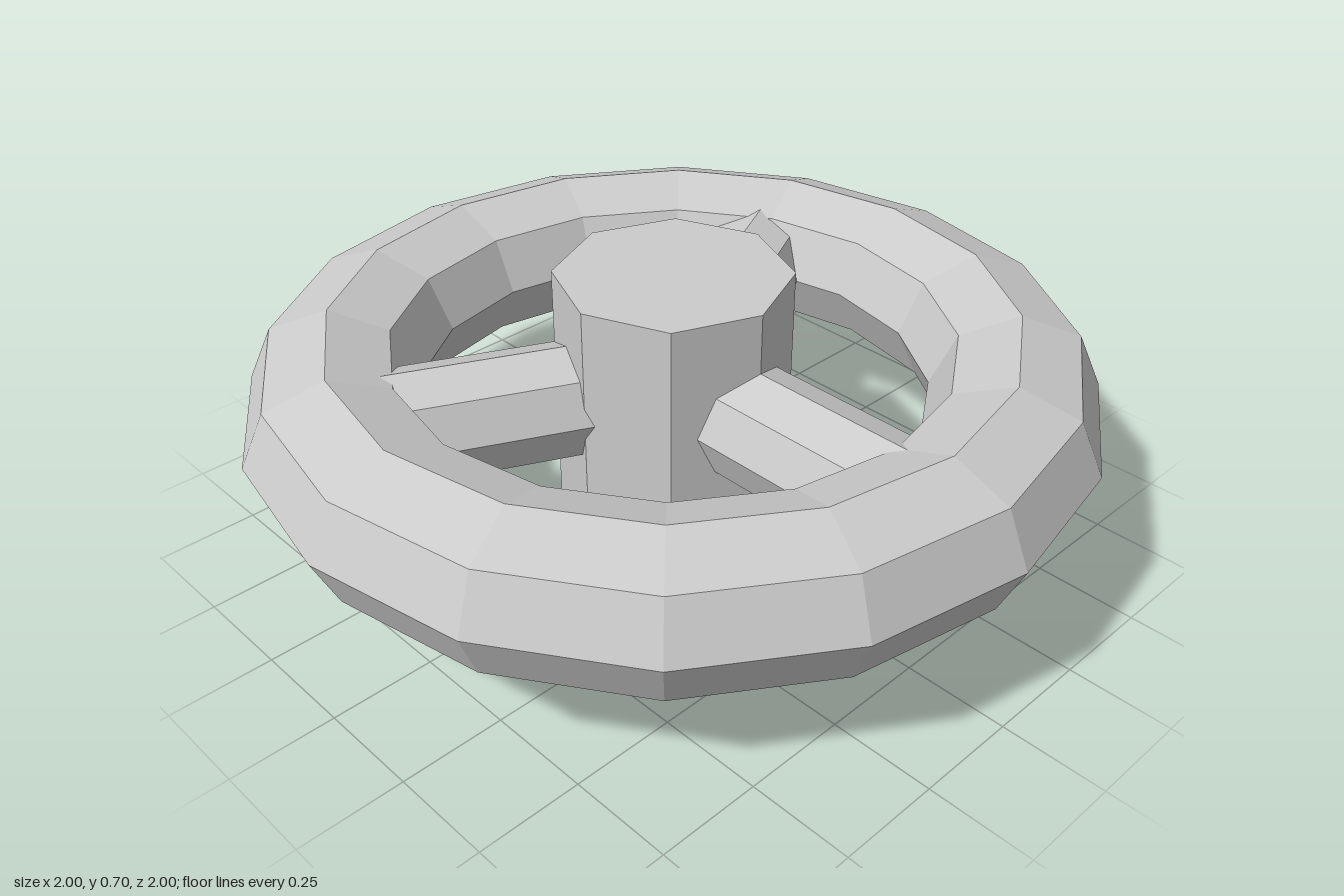
import * as THREE from 'three';

const HEIGHT = 0.7; // hub height
const MID = 0.414; // height of the rim and spoke centre line

export function createModel() {
  const group = new THREE.Group();
  const material = new THREE.MeshStandardMaterial({ color: 0xcccccc, flatShading: true });

  const add = (name, geometry) => {
    const mesh = new THREE.Mesh(geometry, material);
    mesh.name = name;
    group.add(mesh);
    return mesh;
  };

  // Rim: faceted ring, slightly flattened vertically
  const rim = new THREE.TorusGeometry(0.8, 0.2, 8, 16);
  rim.rotateX(Math.PI / 2).scale(1, 0.9, 1);
  add('rim', rim).position.y = MID;

  // Hub: octagonal post through the middle
  add('hub', new THREE.CylinderGeometry(0.277, 0.277, HEIGHT, 8)).position.y = HEIGHT / 2;

  // Spokes: octagonal bars whose ends are buried in hub and rim
  const spoke = new THREE.CylinderGeometry(0.138, 0.138, 0.66, 8);
  spoke.rotateX(Math.PI / 2).translate(0, 0, 0.45);
  const angles = { frontSpoke: 0, leftSpoke: 116, rightSpoke: -116 };
  for (const [name, degrees] of Object.entries(angles)) {
    const mesh = add(name, spoke);
    mesh.position.y = MID;
    mesh.rotation.y = THREE.MathUtils.degToRad(degrees);
  }

  return group;
}
